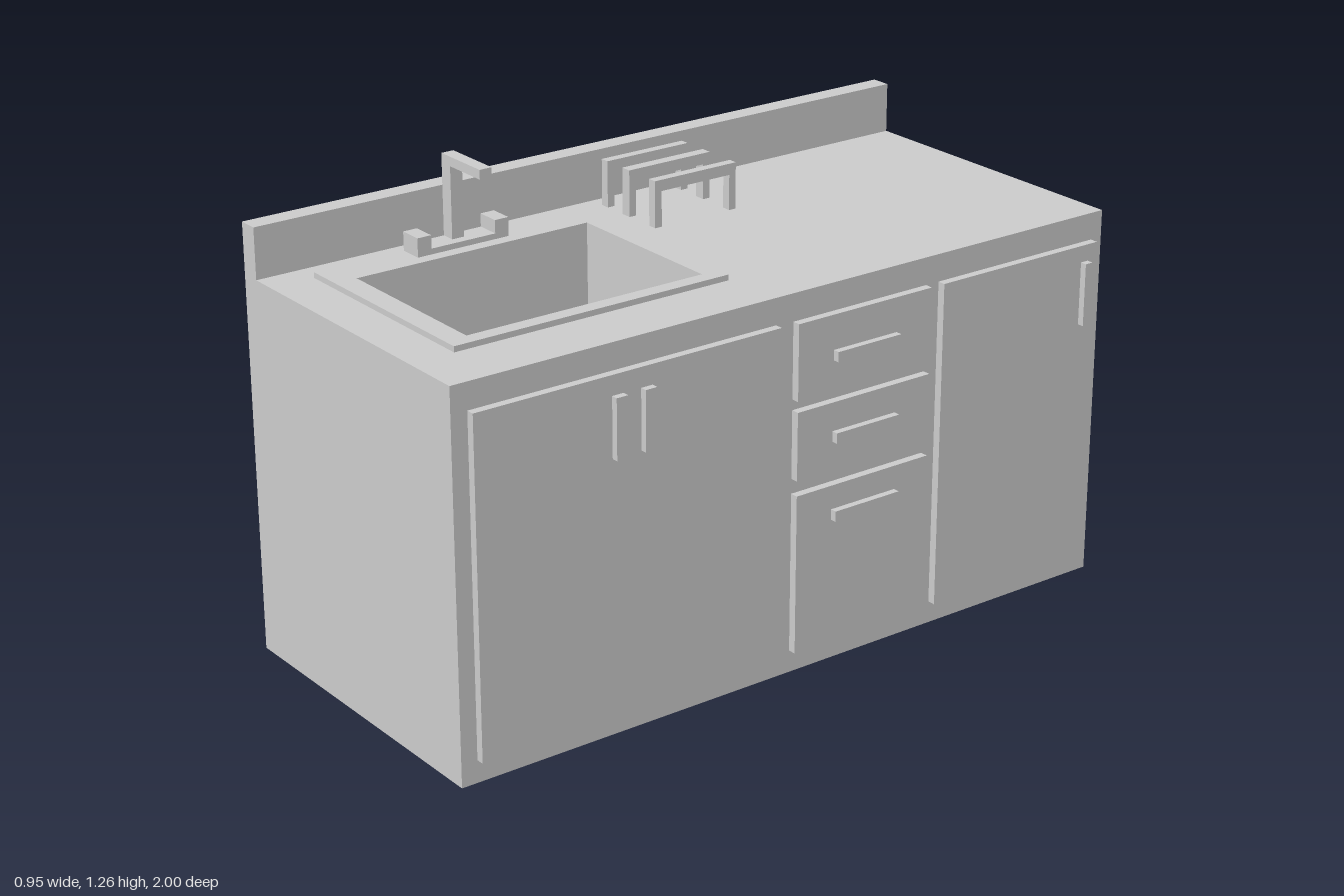
import * as THREE from 'three';

export function createModel() {
  const group = new THREE.Group();
  const grey = new THREE.MeshStandardMaterial({ color: 0xcccccc });
  const dark = new THREE.MeshStandardMaterial({ color: 0x111111 });

  const add = (name, geometry, material = grey, parent = group) => {
    const mesh = new THREE.Mesh(geometry, material);
    mesh.name = name;
    parent.add(mesh);
    return mesh;
  };

  // Box given by its limits on each axis
  const box = (name, [x0, x1], [y0, y1], [z0, z1], parent = group) => {
    const mesh = add(name, new THREE.BoxGeometry(x1 - x0, y1 - y0, z1 - z0), grey, parent);
    mesh.position.set((x0 + x1) / 2, (y0 + y1) / 2, (z0 + z1) / 2);
    return mesh;
  };

  // Upright slab with a rectangular opening, from y0 to y1
  const corners = ([x0, x1], [z0, z1]) =>
    [[x0, -z1], [x1, -z1], [x1, -z0], [x0, -z0]].map(([x, y]) => new THREE.Vector2(x, y));
  const frame = (name, xs, zs, holeX, holeZ, [y0, y1]) => {
    const shape = new THREE.Shape(corners(xs, zs));
    shape.holes.push(new THREE.Path(corners(holeX, holeZ).reverse()));
    const geometry = new THREE.ExtrudeGeometry(shape, { depth: y1 - y0, bevelEnabled: false });
    geometry.rotateX(-Math.PI / 2).translate(0, y0, 0);
    return add(name, geometry);
  };

  // Cabinet with the basin opening, and the splashback along its rear
  const top = 1.015, basinX = [-0.25, 0.23], basinZ = [0.14, 0.82], floorY = 0.73;
  frame('cabinet', [-0.475, 0.435], [-1, 1], basinX, basinZ, [0, top]);
  box('splashback', [-0.475, -0.42], [top, 1.15], [-1, 1]);

  // Sink
  box('basinFloor', basinX, [0, floorY], basinZ);
  frame('sinkRim', [-0.35, 0.27], [0.09, 0.88], basinX, basinZ, [top, 1.03]);
  const drain = add('drain', new THREE.CylinderGeometry(0.048, 0.048, 0.01, 6), dark);
  drain.position.set(-0.17, floorY + 0.005, 0.457);

  // Faucet
  const faucet = new THREE.Group();
  faucet.name = 'faucet';
  group.add(faucet);
  box('faucetBase', [-0.35, -0.285], [1.03, 1.045], [0.395, 0.583], faucet);
  for (const z of [0.355, 0.583]) box('tap', [-0.35, -0.285], [1.03, 1.08], [z, z + 0.04], faucet);
  box('faucetColumn', [-0.35, -0.312], [1.045, 1.235], [0.47, 0.505], faucet);
  box('spout', [-0.35, -0.18], [1.235, 1.26], [0.47, 0.505], faucet);

  // Dish rack made of three arches
  for (const [x0, x1] of [[-0.375, -0.35], [-0.285, -0.255], [-0.17, -0.145]]) {
    const arch = new THREE.Group();
    arch.name = 'rackArch';
    group.add(arch);
    box('archBar', [x0, x1], [1.11, 1.14], [-0.255, 0.003], arch);
    for (const z of [-0.255, -0.018]) box('archLeg', [x0, x1], [top, 1.11], [z, z + 0.021], arch);
  }

  // Doors and drawers: height range, z range, then [y range, z range] of each handle
  const fronts = [
    ['wideDoor', [0.06, 0.945], [0.073, 0.955],
      [[[0.735, 0.893], [0.54, 0.573]], [[0.735, 0.893], [0.457, 0.49]]]],
    ['topDrawer', [0.74, 0.942], [-0.402, 0.02], [[[0.823, 0.85], [-0.29, -0.09]]]],
    ['middleDrawer', [0.53, 0.712], [-0.402, 0.02], [[[0.608, 0.636], [-0.29, -0.09]]]],
    ['bottomDrawer', [0.06, 0.49], [-0.402, 0.02], [[[0.398, 0.426], [-0.295, -0.09]]]],
    ['narrowDoor', [0.06, 0.942], [-0.965, -0.443], [[[0.727, 0.897], [-0.935, -0.912]]]],
  ];
  for (const [name, ys, zs, handles] of fronts) {
    box(name, [0.435, 0.457], ys, zs);
    for (const [hy, hz] of handles) box(name + 'Handle', [0.457, 0.475], hy, hz);
  }

  return group;
}
